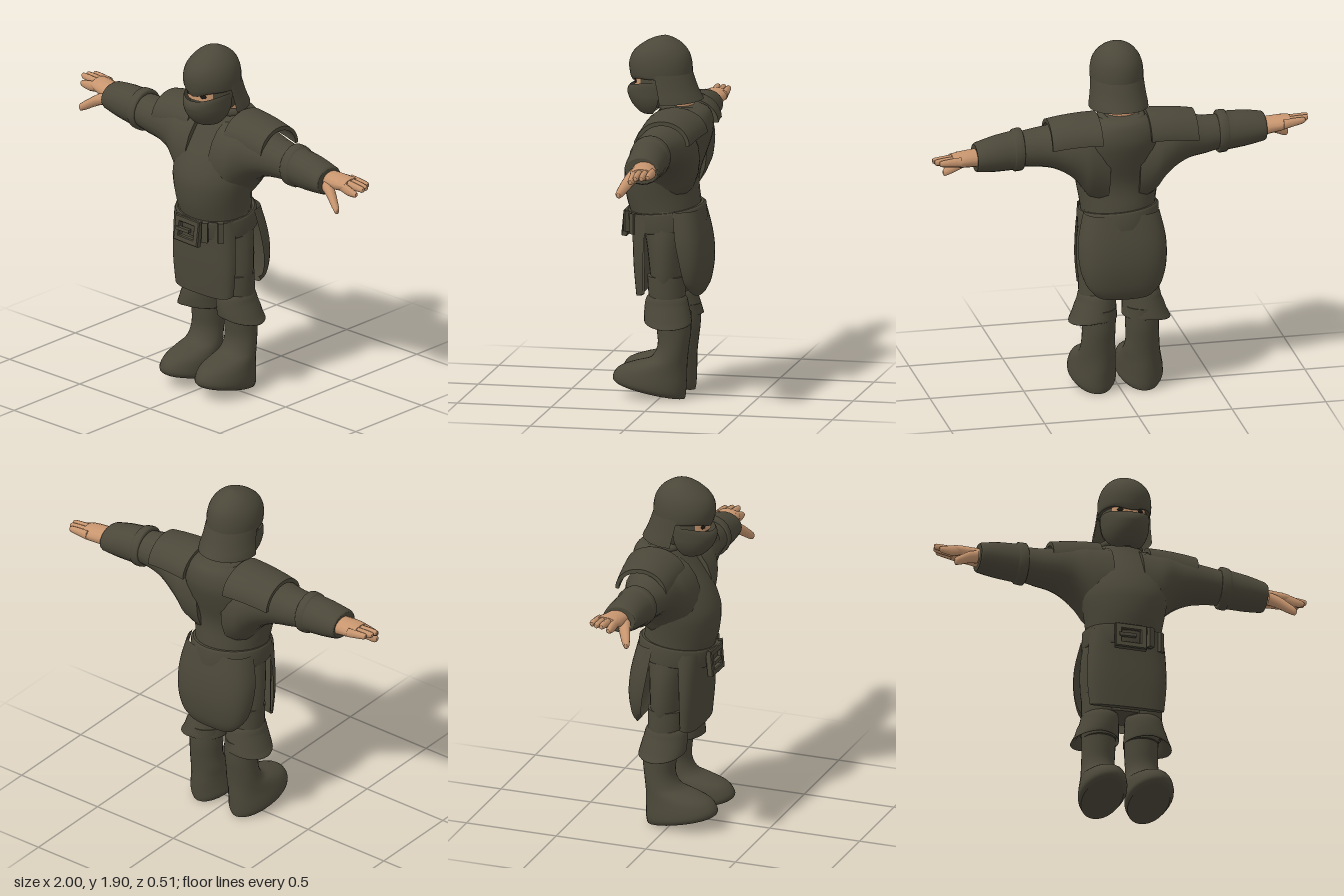
import * as THREE from 'three';
import { toCreasedNormals } from 'three/addons/utils/BufferGeometryUtils.js';

const cloth = new THREE.MeshStandardMaterial({ color: 0x4b4739, side: THREE.DoubleSide });
cloth.name = 'dark olive cloth';
const skin = new THREE.MeshStandardMaterial({ color: 0xc8966f, side: THREE.DoubleSide });
skin.name = 'skin';
const eyeDark = new THREE.MeshStandardMaterial({ color: 0x1d1a14 });
eyeDark.name = 'dark eye';

// Catmull-Rom refinement of a list of cross-section rows
function refine(rows, sub) {
  const out = [];
  for (let i = 0; i < rows.length - 1; i++) {
    const p = [rows[Math.max(i - 1, 0)], rows[i], rows[i + 1], rows[Math.min(i + 2, rows.length - 1)]];
    for (let k = 0; k < sub; k++) {
      const t = k / sub;
      out.push(p[1].map((b, j) => {
        const a = p[0][j], c = p[2][j], d = p[3][j];
        return b + 0.5 * t * (c - a + t * (2 * a - 5 * b + 4 * c - d + t * (3 * (b - c) + d - a)));
      }));
    }
  }
  out.push(rows[rows.length - 1]);
  return out;
}

// Grid surface; closed wraps each row, caps fill the first and last row
function surface(rings, closed, caps) {
  const n = rings[0].length, pos = rings.flat(2), idx = [];
  for (let i = 0; i < rings.length - 1; i++) {
    for (let j = 0; j < (closed ? n : n - 1); j++) {
      const a = i * n + j, b = i * n + (j + 1) % n;
      idx.push(a, a + n, b, b, a + n, b + n);
    }
  }
  if (caps) [rings[0], rings[rings.length - 1]].forEach((r, e) => {
    const base = pos.length / 3;
    r.forEach(p => pos.push(...p));
    pos.push(...[0, 1, 2].map(k => r.reduce((s, p) => s + p[k], 0) / n));
    for (let j = 0; j < n; j++) {
      const a = base + j, b = base + (j + 1) % n;
      if (e) idx.push(base + n, b, a); else idx.push(base + n, a, b);
    }
  });
  const g = new THREE.BufferGeometry();
  g.setAttribute('position', new THREE.Float32BufferAttribute(pos, 3));
  g.setIndex(idx);
  g.computeVertexNormals();
  return g;
}

// Upright loft, rows bottom to top: [y, centreX, halfWidth, zFront, zBack, tilt]
function upright(rows, { sub = 3, n = 28, from = 0, to = Math.PI * 2, bend } = {}) {
  const full = to - from > 6.28;
  const rings = refine(rows, sub).map(([y, cx, rx, zf, zb, tilt = 0], i) => Array.from({ length: n }, (_, j) => {
    const a = from + (to - from) * j / (full ? n : n - 1), s = Math.sin(a), c = Math.cos(a);
    const z = (zf + zb) / 2 + s * (zf - zb) / 2;
    return [cx + c * rx, y + tilt * (z + 0.13) + (bend ? bend(s, c, i) : 0), z];
  }));
  return surface(rings, full, full);
}

// Sideways loft, rows inner to outer: [x, top, bottom, zFront, zBack]
function sideways(rows, sub = 3, n = 20) {
  const rings = refine(rows, sub).map(([x, t, b, zf, zb]) => Array.from({ length: n }, (_, j) => {
    const a = j / n * Math.PI * 2;
    return [x, (t + b) / 2 + Math.cos(a) * (t - b) / 2, (zf + zb) / 2 - Math.sin(a) * (zf - zb) / 2];
  }));
  return surface(rings, true, true);
}

// Curved hanging panel, rows bottom to top: [y, halfWidth, zMiddle, zEdge, edgeLift]
function panel(rows, dir) {
  return surface(refine(rows, 4).map(([y, w, zm, ze, lift]) => Array.from({ length: 21 }, (_, j) => {
    const s = (1 - j / 10) * dir, k = Math.abs(s);
    return [w * Math.sin(s * Math.PI / 2), y + lift * k ** 3, zm + (ze - zm) * k ** 2.6];
  })), false, false);
}

// Mirror a geometry to the other side, keeping outward faces
function mirrored(g) {
  const m = g.index ? g.toNonIndexed() : g.clone();
  for (const name of ['position', 'normal']) {
    const at = m.getAttribute(name);
    for (let i = 0; i < at.count; i += 3) {
      const v = [0, 2, 1].map(k => new THREE.Vector3().fromBufferAttribute(at, i + k));
      v.forEach((p, k) => at.setXYZ(i + k, -p.x, p.y, p.z));
    }
  }
  return m;
}

export function createModel() {
  const model = new THREE.Group();
  const add = (name, geo, mat = cloth) => {
    const m = new THREE.Mesh(geo, mat);
    m.name = name;
    model.add(m);
    return m;
  };
  const pair = (name, geo) => {
    add('left' + name, geo);
    add('right' + name, mirrored(geo));
  };

  // Tunic body, hips and hanging skirt panels
  add('torso', upright([[0.92, 0, 0.19, 0.165, -0.19], [1.03, 0, 0.2, 0.2, -0.185], [1.12, 0, 0.215, 0.213, -0.175],
    [1.2, 0, 0.228, 0.208, -0.185], [1.3, 0, 0.235, 0.165, -0.22], [1.4, 0, 0.22, 0.1, -0.25],
    [1.47, 0, 0.19, 0.05, -0.248], [1.52, 0, 0.14, 0.02, -0.225], [1.54, 0, 0.09, 0.0, -0.17]]));
  add('hips', upright([[0.55, 0, 0.19, 0.06, -0.12], [0.62, 0, 0.215, 0.07, -0.135], [0.72, 0, 0.225, 0.08, -0.14],
    [0.85, 0, 0.222, 0.1, -0.15], [1.0, 0, 0.195, 0.15, -0.18]]));
  add('frontSkirt', panel([[0.54, 0.2, 0.135, 0.075, 0.02], [0.7, 0.212, 0.15, 0.075, 0],
    [0.85, 0.208, 0.158, 0.07, 0], [0.98, 0.195, 0.17, 0.06, 0]], 1));
  add('frontSkirtLining', panel([[0.54, 0.195, 0.105, 0.07, 0.02], [0.9, 0.2, 0.125, 0.065, 0]], -1));
  add('skirtHem', panel([[0.54, 0.195, 0.105, 0.07, 0.02], [0.54, 0.2, 0.135, 0.075, 0.02]], 1));
  add('backSkirt', panel([[0.54, 0.17, -0.2, -0.145, 0.06], [0.6, 0.205, -0.228, -0.14, 0.03], [0.72, 0.23, -0.245, -0.125, 0],
    [0.85, 0.232, -0.235, -0.1, 0], [1.0, 0.2, -0.2, -0.08, 0]], -1));

  // Belt, buckle and loops, lower at the front
  const belt = [[0.91, 0, 0.207, 0.183, -0.213, -0.1], [0.92, 0, 0.214, 0.19, -0.22, -0.1],
    [1.005, 0, 0.214, 0.206, -0.212, -0.1], [1.015, 0, 0.205, 0.195, -0.2, -0.1]];
  add('belt', upright(belt, { sub: 1, n: 40, bend: (s, c) => -0.015 * c }));
  const frame = new THREE.Shape([[-0.08, -0.065], [0.08, -0.065], [0.08, 0.065], [-0.08, 0.065]].map(p => new THREE.Vector2(...p)));
  frame.holes.push(new THREE.Path([[-0.055, -0.042], [-0.055, 0.042], [0.055, 0.042], [0.055, -0.042]].map(p => new THREE.Vector2(...p))));
  const buckle = add('buckle', new THREE.ExtrudeGeometry(frame, { depth: 0.025, bevelSize: 0.005, bevelThickness: 0.005, bevelSegments: 1 }));
  buckle.position.set(-0.01, 0.91, 0.185);
  buckle.rotation.set(-0.1, 0, -0.03);
  const prong = add('bucklePin', new THREE.BoxGeometry(0.09, 0.018, 0.02));
  prong.position.set(-0.03, 0.915, 0.213);
  [[0.1, 0.186, 0.5], [0.165, 0.137, 0.85]].forEach(([x, z, r], i) => {
    const loop = add('beltLoop' + (i + 1), new THREE.BoxGeometry(0.03, 0.11, 0.025));
    loop.position.set(x, 0.925, z);
    loop.rotation.y = r;
  });

  // Arms: sleeves, bracers and hands; the left slopes down, the right up
  const sleeve = sideways([[0.08, 1.5, 1.02, 0.15, -0.2], [0.17, 1.5, 1.08, 0.14, -0.22], [0.22, 1.5, 1.15, 0.125, -0.215],
    [0.28, 1.495, 1.21, 0.1, -0.2], [0.36, 1.48, 1.25, 0.085, -0.17], [0.45, 1.465, 1.265, 0.07, -0.145], [0.56, 1.455, 1.28, 0.06, -0.13]]);
  const bracer = sideways([[0.52, 1.465, 1.265, 0.065, -0.135], [0.525, 1.48, 1.255, 0.072, -0.145], [0.565, 1.478, 1.255, 0.07, -0.145],
    [0.575, 1.468, 1.265, 0.065, -0.14], [0.66, 1.46, 1.27, 0.06, -0.14], [0.76, 1.438, 1.285, 0.052, -0.138], [0.77, 1.425, 1.295, 0.042, -0.128]], 2);
  const palm = sideways([[0.73, 1.41, 1.31, 0.01, -0.115], [0.8, 1.412, 1.325, 0.005, -0.125], [0.86, 1.412, 1.335, 0, -0.135],
    [0.9, 1.408, 1.35, -0.01, -0.135]], 3, 14);
  const fingers = [0, 1, 2, 3].map(i => {
    const z = -0.027 - i * 0.031, drop = i === 0 ? 0.025 : 0, tip = [0.98, 1, 0.995, 0.975][i];
    return sideways([[0.86, 1.405, 1.35, z + 0.019, z - 0.019], [0.92, 1.405 - drop / 2, 1.36 - drop, z + 0.018, z - 0.018],
      [tip - 0.01, 1.402 - drop, 1.368 - drop, z + 0.015, z - 0.015], [tip, 1.395 - drop, 1.378 - drop, z + 0.008, z - 0.008]], 2, 8);
  });
  const thumb = sideways([[0.78, 1.38, 1.315, 0.025, -0.05], [0.83, 1.36, 1.295, 0.04, -0.025], [0.88, 1.32, 1.265, 0.058, 0.008],
    [0.91, 1.295, 1.25, 0.065, 0.03], [0.92, 1.282, 1.262, 0.058, 0.04]], 2, 10);
  for (const side of [1, -1]) {
    const limb = (name, geo, mat) => {
      const g = side > 0 ? geo.clone() : mirrored(geo), p = g.attributes.position;
      for (let i = 0; i < p.count; i++) p.setY(i, p.getY(i) - side * 0.085 * Math.max(0, Math.abs(p.getX(i)) - 0.45));
      add((side > 0 ? 'left' : 'right') + name, g, mat);
    };
    limb('Sleeve', sleeve);
    limb('Bracer', bracer);
    limb('Palm', palm, skin);
    fingers.forEach((f, i) => limb('Finger' + (i + 1), f, skin));
    limb('Thumb', thumb, skin);
  }

  // Shoulder guards: arched plates that taper outward
  const arch = new THREE.Shape();
  arch.absellipse(0, 0, 0.155, 0.125, 0, Math.PI, false);
  arch.absellipse(0, 0, 0.133, 0.103, Math.PI, 0, true);
  let guard = new THREE.ExtrudeGeometry(arch, { depth: 0.26, steps: 4, bevelEnabled: false, curveSegments: 16 });
  guard.rotateY(Math.PI / 2).translate(0.13, 1.42, -0.07);
  const gp = guard.attributes.position;
  for (let i = 0; i < gp.count; i++) {
    const t = (gp.getX(i) - 0.13) / 0.26;
    gp.setXYZ(i, gp.getX(i), gp.getY(i) - 0.025 * t * t, -0.07 + (gp.getZ(i) + 0.07) * (1.08 - 0.16 * t) - 0.015 * (1 - t));
  }
  guard = toCreasedNormals(guard, 0.7);
  pair('ShoulderGuard', guard);

  // Neck and collar
  const neck = add('neck', new THREE.CylinderGeometry(0.075, 0.095, 0.16, 20), skin);
  neck.position.set(0, 1.54, -0.065);
  const collar = add('collar', new THREE.TorusGeometry(0.105, 0.022, 8, 28));
  collar.rotation.x = Math.PI / 2 - 0.12;
  collar.position.set(0, 1.525, -0.085);

  // Head: hood lining, eye strip, eyes, mask and helmet
  const face = add('hoodLining', new THREE.SphereGeometry(1, 24, 18));
  face.scale.set(0.122, 0.15, 0.155);
  face.position.set(0, 1.66, 0.005);
  add('eyeStrip', upright([[1.635, 0, 0.122, 0.164, -0.14], [1.685, 0, 0.122, 0.164, -0.14]],
    { from: 0.75, to: Math.PI - 0.75, sub: 1 }), skin);
  for (const side of [1, -1]) {
    const eye = add(side > 0 ? 'leftEye' : 'rightEye', new THREE.SphereGeometry(0.014, 12, 8), eyeDark);
    eye.scale.set(1.3, 0.8, 0.4);
    eye.position.set(side * 0.052, 1.662, 0.149);
    eye.rotation.y = side * 0.35;
  }
  add('mask', upright([[1.483, 0, 0.02, 0.1, 0.06], [1.495, 0, 0.075, 0.135, -0.01], [1.54, 0, 0.108, 0.178, -0.09],
    [1.59, 0, 0.123, 0.2, -0.13], [1.625, 0, 0.127, 0.2, -0.14], [1.645, 0, 0.126, 0.188, -0.14]],
  { from: -0.15, to: Math.PI + 0.15, bend: (s, c, i) => i > 9 ? 0.03 * c * c - 0.008 : 0 }));
  add('helmet', upright([[1.685, 0, 0.134, 0.172, -0.14], [1.7, 0, 0.138, 0.186, -0.142], [1.755, 0, 0.138, 0.192, -0.14],
    [1.81, 0, 0.124, 0.172, -0.126], [1.855, 0, 0.094, 0.122, -0.092], [1.885, 0, 0.055, 0.066, -0.045], [1.9, 0, 0.01, 0.012, -0.008]],
  { bend: (s, c, i) => i < 4 ? -0.028 * Math.max(0, s) ** 8 * (1 - i / 4) : 0 }));
  add('neckGuard', upright([[1.57, 0, 0.156, 0.16, -0.2], [1.63, 0, 0.146, 0.16, -0.17], [1.71, 0, 0.138, 0.17, -0.142]],
    { from: -Math.PI - 0.12, to: 0.12, bend: (s, c, i) => i < 1 ? -0.012 * c * c : 0 }));

  // Legs and boots, with upturned toes and flared cuffs
  pair('Thigh', upright([[0.42, 0.115, 0.085, 0.04, -0.14], [0.52, 0.118, 0.095, 0.06, -0.13], [0.65, 0.115, 0.1, 0.07, -0.13]]));
  pair('Boot', upright([[0, 0.125, 0.105, 0.23, -0.13, 0.2], [0.025, 0.125, 0.122, 0.25, -0.135, 0.17], [0.07, 0.125, 0.122, 0.25, -0.138, 0.13],
    [0.12, 0.122, 0.115, 0.215, -0.14, 0.12], [0.165, 0.12, 0.105, 0.13, -0.14, 0.1], [0.21, 0.118, 0.096, 0.05, -0.142, 0.03],
    [0.28, 0.118, 0.088, 0.015, -0.15, 0], [0.36, 0.115, 0.088, 0.02, -0.16, 0], [0.46, 0.115, 0.09, 0.03, -0.16, 0]]));
  pair('BootCuff', upright([[0.45, 0.125, 0.09, 0.035, -0.15], [0.41, 0.14, 0.122, 0.07, -0.162], [0.405, 0.142, 0.128, 0.08, -0.17],
    [0.44, 0.134, 0.118, 0.083, -0.163], [0.49, 0.122, 0.104, 0.083, -0.15], [0.53, 0.117, 0.1, 0.076, -0.14], [0.55, 0.115, 0.088, 0.06, -0.125]],
  { sub: 2, bend: (s, c, i) => i > 0 && i < 7 ? -0.02 * Math.max(0, c) + 0.012 * Math.max(0, s) : 0 }));
  return model;
}
